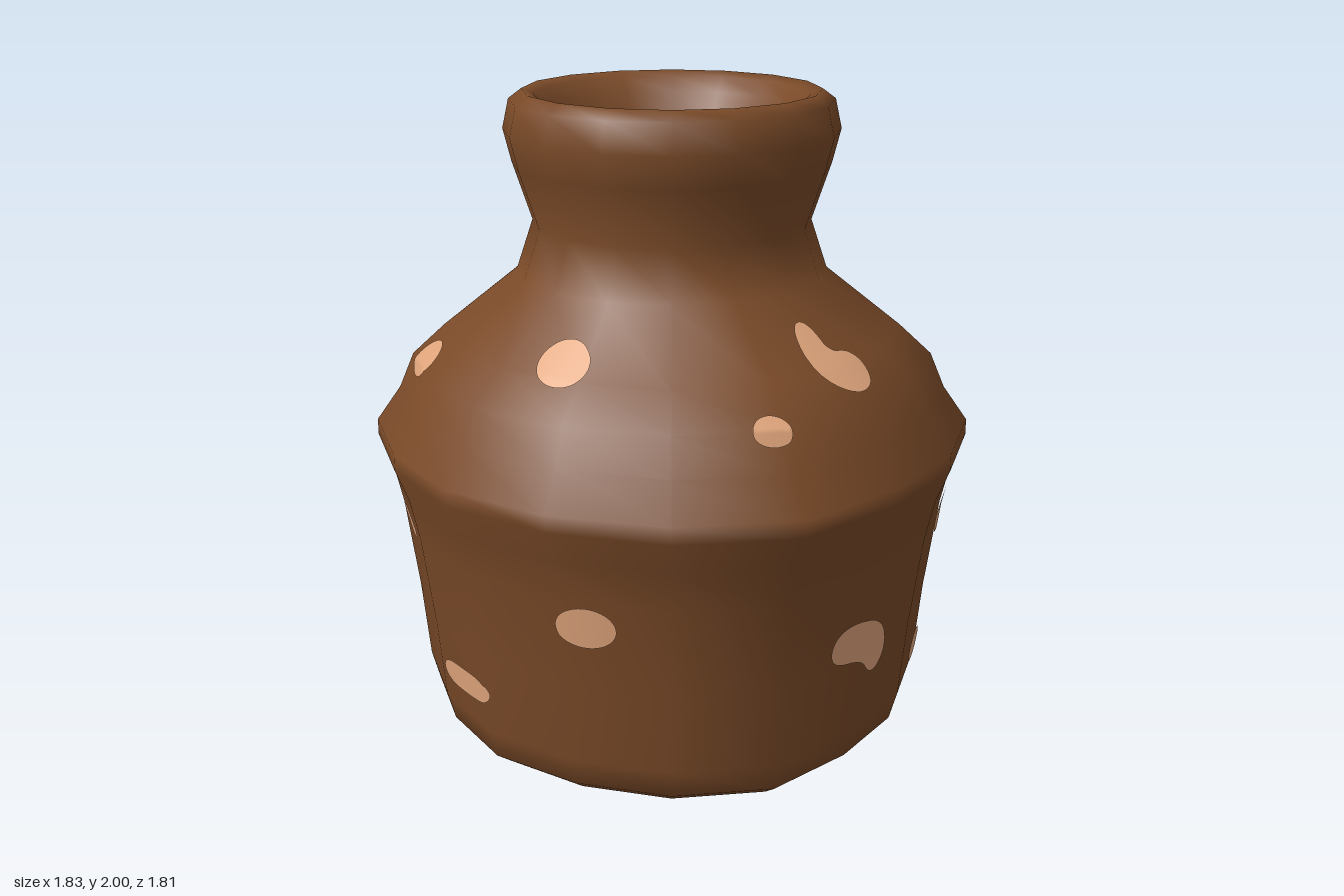
import * as THREE from 'three';
import { mergeVertices } from 'three/addons/utils/BufferGeometryUtils.js';

const SIDES = 16;
// Outer profile [radius, height], from the foot up to the lip
const OUTER = [
  [0.70, 0], [0.755, 0.04], [0.78, 0.13], [0.805, 0.38], [0.845, 0.67], [0.875, 0.8],
  [0.915, 0.9], [0.915, 0.95], [0.84, 1.06], [0.795, 1.17], [0.695, 1.265],
  [0.48, 1.45], [0.43, 1.6], [0.49, 1.78], [0.515, 1.88], [0.495, 1.97], [0.455, 2.0],
];
// Inside of the mouth
const INNER = [[0.42, 1.985], [0.385, 1.94], [0.345, 1.88], [0.31, 1.8], [0.28, 1.7]];
// Hand-made unevenness of the belly, one radius per side
const UNEVEN = [0.91, 0.914, 0.945, 0.92, 0.92, 0.93, 0.94, 0.945, 0.91,
  0.935, 0.945, 0.91, 0.92, 0.92, 0.945, 0.965].map((r) => r / 0.92);

const factor = (col, y) => (y < 1.44 ? UNEVEN[((col % SIDES) + SIDES) % SIDES] : 1);

// Point and normal on the faceted outer wall, lifted slightly off it
function onWall(theta, y, lift) {
  let k = 0;
  while (k < OUTER.length - 2 && OUTER[k + 1][1] < y) k++;
  const [r0, y0] = OUTER[k], [r1, y1] = OUTER[k + 1];
  const r = r0 + (r1 - r0) * (y - y0) / (y1 - y0);
  const step = (2 * Math.PI) / SIDES;
  const col = Math.floor(theta / step), t = theta / step - col;
  const corner = (c) => new THREE.Vector3(Math.sin(c * step), 0, Math.cos(c * step))
    .multiplyScalar(r * factor(c, y));
  const p = corner(col).lerp(corner(col + 1), t).setY(y);
  const normal = new THREE.Vector3(Math.sin(theta) * (y1 - y0), r0 - r1, Math.cos(theta) * (y1 - y0)).normalize();
  return { p: p.addScaledVector(normal, lift), normal, r };
}

// Spot: a ribbon with rounded ends that follows a path on the wall
function spotGeometry(deg, y, halfWidth, path) {
  const N = 28, M = 8, pos = [], nor = [], idx = [];
  const theta0 = THREE.MathUtils.degToRad(deg);
  const R = onWall(theta0, y, 0).r;
  const curve = new THREE.CatmullRomCurve3(path.map(([u, v]) => new THREE.Vector3(u, v, 0)));
  const power = path.length > 2 ? 4 : 2;
  for (let i = 0; i <= N; i++) {
    const s = -Math.cos((Math.PI * i) / N);
    const c = curve.getPointAt((s + 1) / 2), tan = curve.getTangentAt((s + 1) / 2);
    const w = halfWidth * Math.sqrt(Math.max(0, 1 - Math.abs(s) ** power));
    for (let j = 0; j <= M; j++) {
      const o = w * ((2 * j) / M - 1);
      const { p, normal } = onWall(theta0 + (c.x - tan.y * o) / R, y + c.y + tan.x * o, 0.007);
      pos.push(p.x, p.y, p.z);
      nor.push(normal.x, normal.y, normal.z);
      if (i < N && j < M) {
        const a = i * (M + 1) + j, b = a + M + 1;
        idx.push(a, b, b + 1, a, b + 1, a + 1);
      }
    }
  }
  const g = new THREE.BufferGeometry();
  g.setAttribute('position', new THREE.Float32BufferAttribute(pos, 3));
  g.setAttribute('normal', new THREE.Float32BufferAttribute(nor, 3));
  g.setIndex(idx);
  return g;
}

// Lathed wall, made uneven and smoothed across the seam
function potGeometry() {
  const points = [[0, 0], [0.66, 0], ...OUTER, ...INNER].map(([r, y]) => new THREE.Vector2(r, y));
  const g = new THREE.LatheGeometry(points, SIDES);
  const p = g.attributes.position;
  for (let i = 0; i < p.count; i++) {
    const f = factor(Math.floor(i / points.length), p.getY(i));
    p.setXYZ(i, p.getX(i) * f, p.getY(i), p.getZ(i) * f);
  }
  g.deleteAttribute('uv');
  g.deleteAttribute('normal');
  const merged = mergeVertices(g, 1e-4);
  merged.computeVertexNormals();
  return merged;
}

// Gently rippled disc filling the mouth
function fillingGeometry() {
  const g = new THREE.RingGeometry(0, 0.36, 32, 6).rotateX(-Math.PI / 2);
  const p = g.attributes.position;
  for (let i = 0; i < p.count; i++) {
    const x = p.getX(i), z = p.getZ(i);
    p.setY(i, 1.875 + 0.014 * Math.sin(9 * x + 1) * Math.cos(8 * z) - 0.02 * z + 0.012 * Math.sin(7 * z - 4 * x));
  }
  g.computeVertexNormals();
  return g;
}

export function createModel() {
  const clay = new THREE.MeshStandardMaterial({ color: 0x7a4a28 });
  clay.name = 'brown clay';
  const tan = new THREE.MeshStandardMaterial({ color: 0xe0a57c });
  tan.name = 'tan spots';
  const purple = new THREE.MeshStandardMaterial({ color: 0x5c2648 });
  purple.name = 'purple filling';

  const model = new THREE.Group();
  model.name = 'spottedPot';
  const add = (parent, name, geometry, material) => {
    const mesh = new THREE.Mesh(geometry, material);
    mesh.name = name;
    parent.add(mesh);
  };
  add(model, 'pot', potGeometry(), clay);
  add(model, 'filling', fillingGeometry(), purple);

  const oval = (a, tilt = 0) => [[-a, -tilt], [a, tilt]];
  // [angle from the front, height, half width, path along the wall]
  const spots = [
    // shoulder
    [0, 1.3, 0.05, [[-0.04, 0.08], [-0.05, 0], [0.0, -0.045], [0.1, -0.05]]],
    [83, 1.32, 0.065, oval(0.1)],
    [139, 1.19, 0.062, oval(0.12, -0.03)],
    [191, 1.34, 0.045, [[-0.15, -0.01], [0, 0], [0.15, 0.02]]],
    [236, 1.19, 0.05, oval(0.085)],
    [287, 1.3, 0.055, oval(0.085)],
    [334.5, 1.165, 0.037, oval(0.055)],
    // lower body
    [0, 0.43, 0.068, [[-0.14, 0.02], [-0.02, 0.02], [0.06, -0.02], [0.11, -0.11]]],
    [45, 0.65, 0.07, oval(0.12)],
    [38, 0.21, 0.048, oval(0.09)],
    [90, 0.47, 0.075, [[-0.19, 0.1], [-0.05, 0.03], [0.12, -0.03], [0.38, -0.03]]],
    [141, 0.165, 0.06, oval(0.11)],
    [184, 0.48, 0.042, [[-0.16, 0.09], [0, 0], [0.15, -0.1]]],
    [184, 0.48, 0.042, [[-0.13, -0.08], [0, 0], [0.17, 0.065]]],
    [241, 0.7, 0.05, oval(0.1)],
    [261, 0.255, 0.042, [[-0.15, -0.01], [0, 0.0], [0.15, 0.015]]],
    [298, 0.59, 0.065, oval(0.09)],
  ];
  const spotGroup = new THREE.Group();
  spotGroup.name = 'spots';
  model.add(spotGroup);
  spots.forEach((s, i) => add(spotGroup, `spot${i + 1}`, spotGeometry(...s), tan));
  return model;
}
